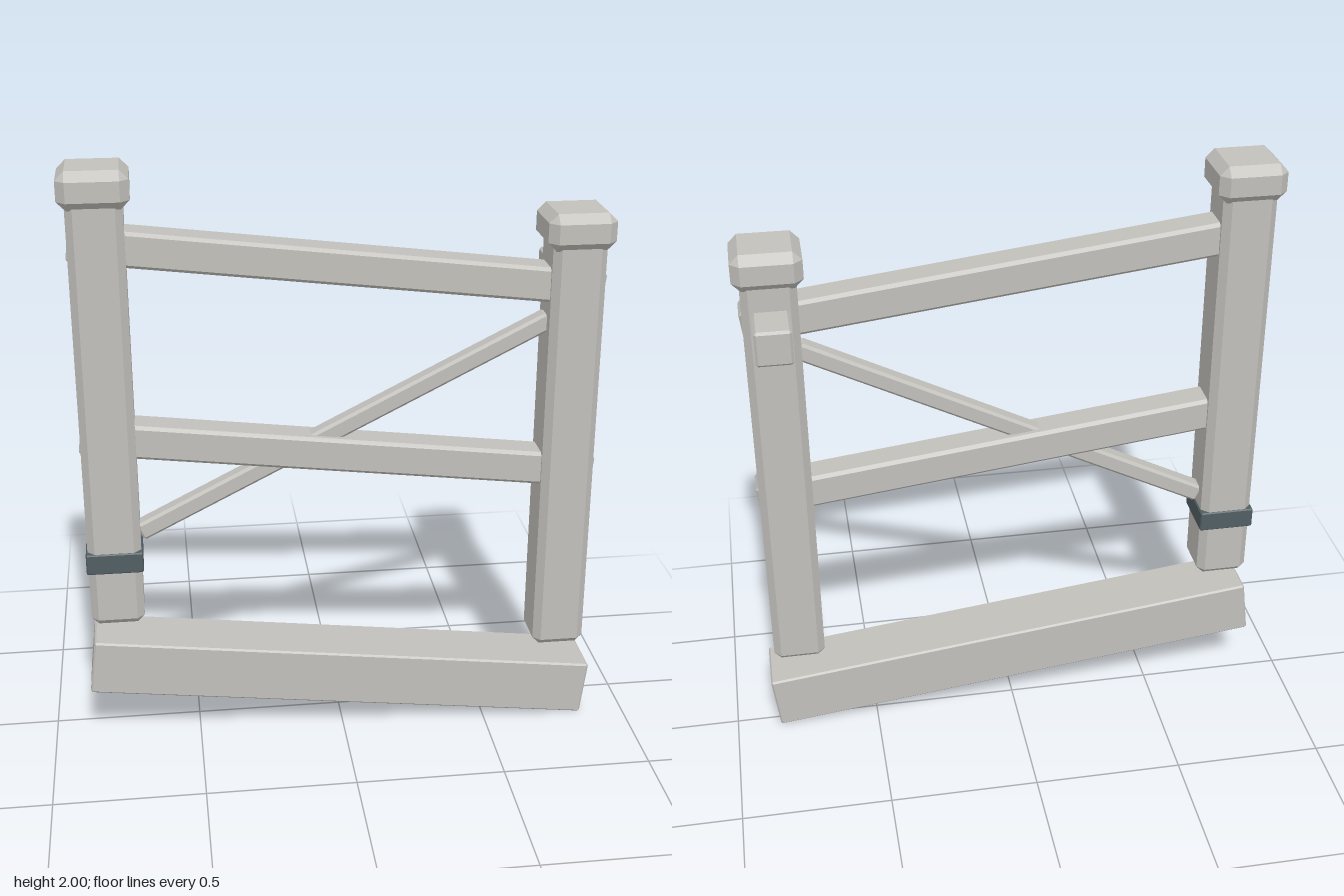
import * as THREE from 'three';
import { ConvexGeometry } from 'three/addons/geometries/ConvexGeometry.js';

// Box with every edge cut by a flat chamfer of size c
function chamferBox(w, h, d, c) {
  const half = [w / 2, h / 2, d / 2];
  const points = [];
  for (const sx of [-1, 1]) for (const sy of [-1, 1]) for (const sz of [-1, 1]) {
    for (let axis = 0; axis < 3; axis++) {
      const e = half.map((v, i) => (i === axis ? v : v - c));
      points.push(new THREE.Vector3(sx * e[0], sy * e[1], sz * e[2]));
    }
  }
  return new ConvexGeometry(points);
}

export function createModel() {
  const model = new THREE.Group();
  model.name = 'slopedFence';

  const wood = new THREE.MeshStandardMaterial({ color: 0xc2c0bb });
  wood.name = 'paleGrey';
  const metal = new THREE.MeshStandardMaterial({ color: 0x525e63 });
  metal.name = 'darkSlate';

  const midZ = 0.061;
  const slope = -Math.atan(0.1216);

  function add(name, size, chamfer, position, tilt = 0, material = wood) {
    const mesh = new THREE.Mesh(chamferBox(...size, chamfer), material);
    mesh.name = name;
    mesh.position.set(...position);
    mesh.rotation.z = tilt;
    model.add(mesh);
  }

  // Posts with caps, stepped down the slope
  const posts = [
    { side: 'right', x: -0.763, bottom: 0.453, top: 2.0 },
    { side: 'left', x: 0.76, bottom: 0.27, top: 1.82 },
  ];
  for (const { side, x, bottom, top } of posts) {
    const height = top - 0.09 - bottom;
    add(side + 'Post', [0.177, height, 0.177], 0.024, [x, bottom + height / 2, midZ]);
    add(side + 'PostCap', [0.222, 0.122, 0.222], 0.029, [x, top - 0.061, midZ]);
  }

  // Sloping rails, their ends just showing through the posts
  add('upperRail', [1.717, 0.115, 0.113], 0.011, [0, 1.66, midZ], slope);
  add('lowerRail', [1.717, 0.115, 0.113], 0.011, [0, 1.018, midZ], slope);

  // Diagonal brace
  add('brace', [1.525, 0.061, 0.061], 0.009, [0.004, 1.107, midZ], Math.atan(0.506));

  // Sloping ground beam
  add('groundBeam', [1.73, 0.192, 0.212], 0.006, [0, 0.2, midZ], slope);

  // Dark band around the taller post
  add('postBand', [0.188, 0.072, 0.188], 0.004, [-0.763, 0.687, midZ], 0, metal);

  // Stub projecting from the back of the shorter post
  add('backStub', [0.117, 0.117, 0.23], 0.008, [0.759, 1.569, -0.057]);

  return model;
}
